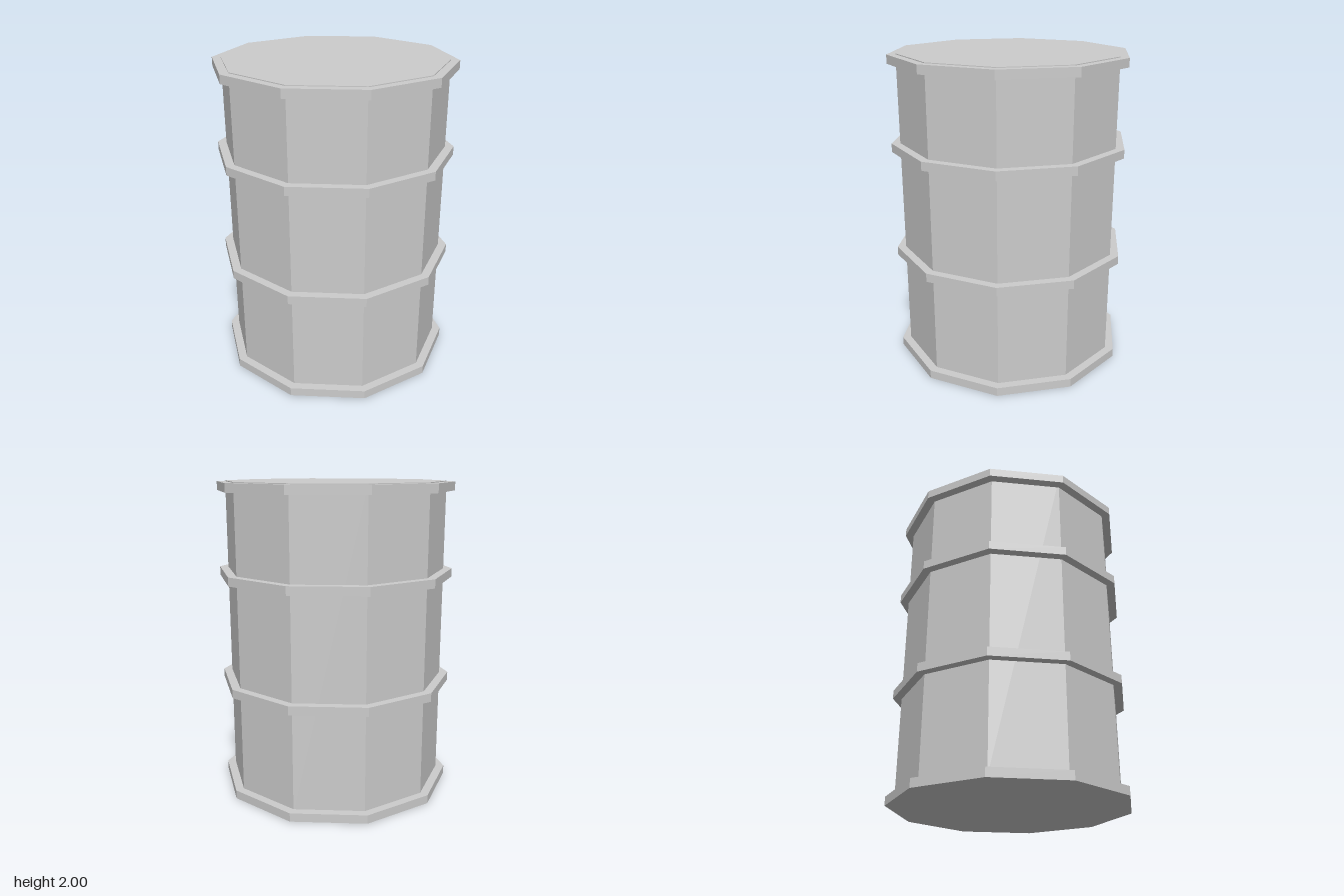
import * as THREE from 'three';

const SIDES = 10;
const BODY_RADIUS = 0.705;
const HOOP_RADIUS = 0.76;
const HOOP_HEIGHT = 0.055;

export function createModel() {
  const barrel = new THREE.Group();
  barrel.name = 'barrel';
  const material = new THREE.MeshStandardMaterial({ color: 0xcccccc, flatShading: true });

  // Ten-sided prism with one corner facing the front
  function addPrism(name, radius, bottom, top) {
    const geometry = new THREE.CylinderGeometry(radius, radius, top - bottom, SIDES);
    const mesh = new THREE.Mesh(geometry, material);
    mesh.name = name;
    mesh.position.y = (bottom + top) / 2;
    barrel.add(mesh);
  }

  // Drum body, its lid just proud of the top rim
  addPrism('body', BODY_RADIUS, 0.02, 2);

  // Rims and reinforcing hoops
  const hoops = { bottomRim: 0, lowerHoop: 0.685, upperHoop: 1.39, topRim: 1.94 };
  for (const [name, bottom] of Object.entries(hoops)) {
    addPrism(name, HOOP_RADIUS, bottom, bottom + HOOP_HEIGHT);
  }

  return barrel;
}
